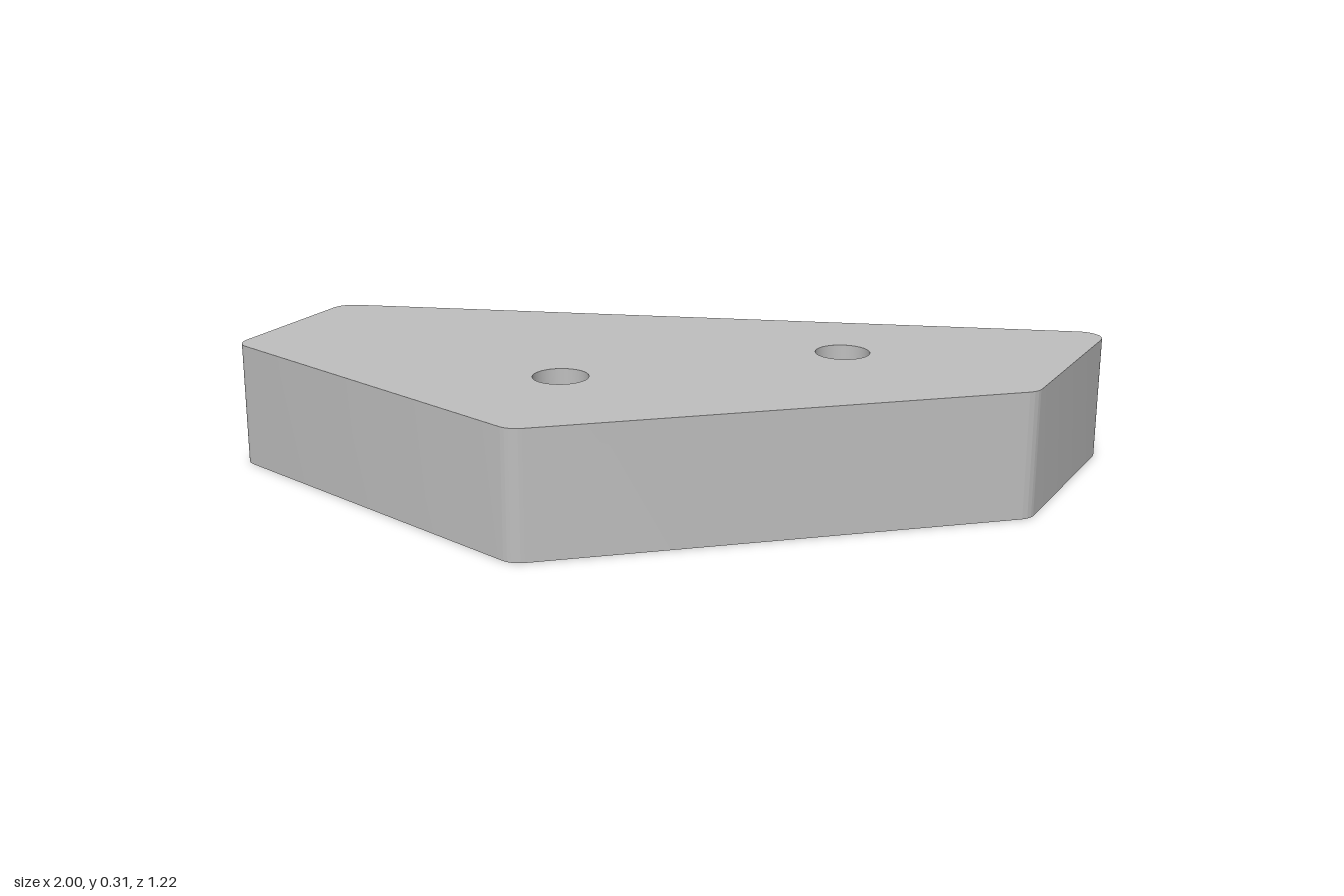
import * as THREE from 'three';
import { toCreasedNormals } from 'three/addons/utils/BufferGeometryUtils.js';

const HEIGHT = 0.305;
const CORNER_RADIUS = 0.055;
const HOLE_RADIUS = 0.066;

// Plan corners (x, z) before rounding, counter-clockwise seen from above
const CORNERS = [[-1.007, 0.202], [-0.096, 0.616], [0.918, -0.042], [1.01, -0.626], [-0.955, -0.243]];
const HOLES = [[0.42, -0.22], [-0.144, 0.205]];

// Convex outline with every corner replaced by a tangent arc
function roundedOutline(corners, radius) {
  const pts = corners.map(([x, z]) => new THREE.Vector2(x, -z));
  const shape = new THREE.Shape();
  pts.forEach((p, i) => {
    const u = pts[(i + pts.length - 1) % pts.length].clone().sub(p).normalize();
    const v = pts[(i + 1) % pts.length].clone().sub(p).normalize();
    const half = Math.acos(u.dot(v)) / 2;
    const centre = u.clone().add(v).normalize().multiplyScalar(radius / Math.sin(half)).add(p);
    const tangent = radius / Math.tan(half);
    const start = u.multiplyScalar(tangent).add(p).sub(centre).angle();
    const end = v.multiplyScalar(tangent).add(p).sub(centre).angle();
    shape.absarc(centre.x, centre.y, radius, start, end, false);
  });
  shape.closePath();
  return shape;
}

export function createModel() {
  const group = new THREE.Group();
  group.name = 'mountingPlate';
  const grey = new THREE.MeshStandardMaterial({ color: 0xbfbfbf });
  grey.name = 'plain grey';

  // Five-sided slab with two through holes
  const outline = roundedOutline(CORNERS, CORNER_RADIUS);
  for (const [x, z] of HOLES) {
    outline.holes.push(new THREE.Path().absarc(x, -z, HOLE_RADIUS, 0, Math.PI * 2, true));
  }
  const slab = new THREE.ExtrudeGeometry(outline, { depth: HEIGHT, bevelEnabled: false, curveSegments: 20 });
  slab.rotateX(-Math.PI / 2);

  const plate = new THREE.Mesh(toCreasedNormals(slab, Math.PI / 6), grey);
  plate.name = 'plate';
  group.add(plate);
  return group;
}
